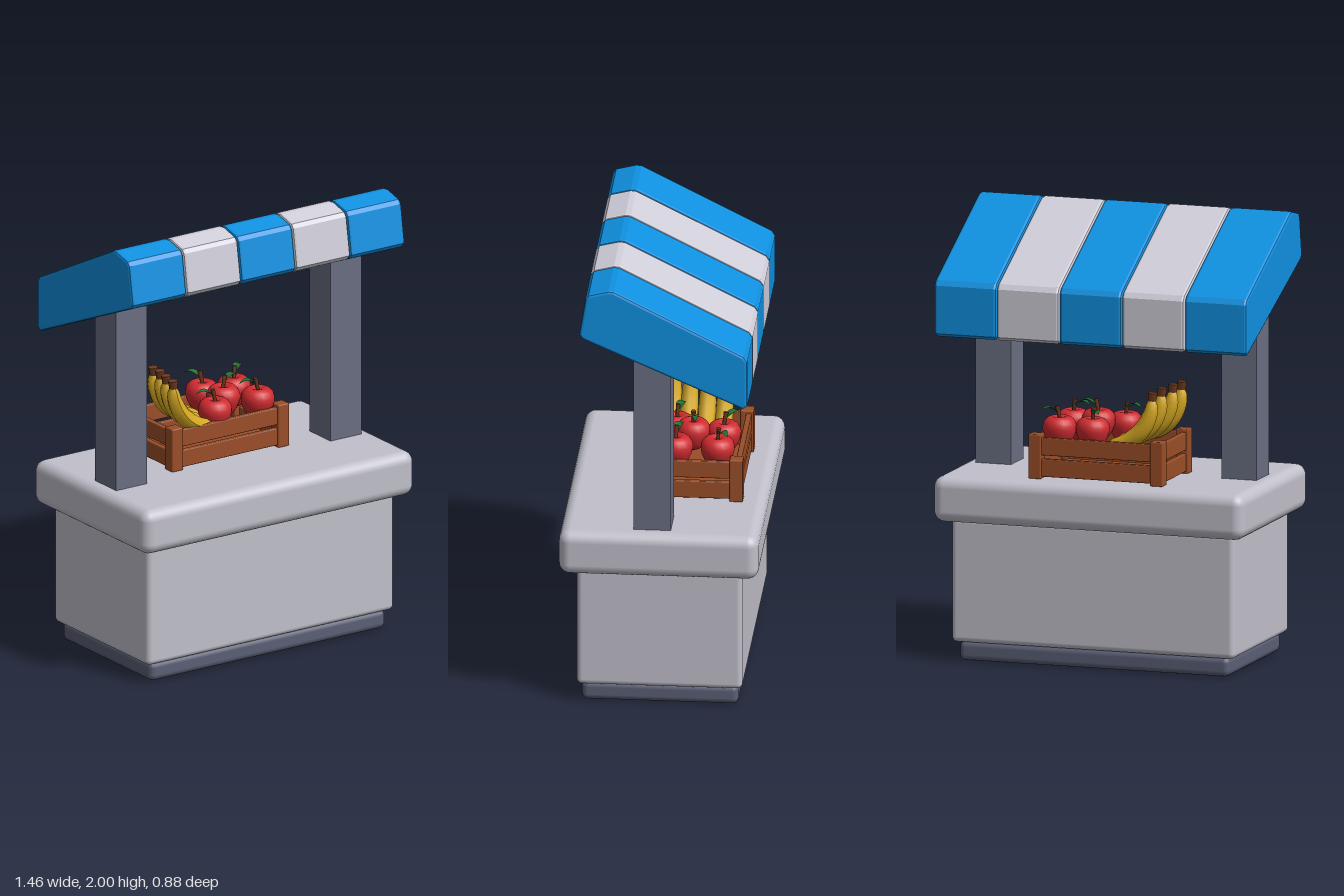
import * as THREE from 'three';
import { RoundedBoxGeometry } from 'three/addons/geometries/RoundedBoxGeometry.js';

const mat = (name, color, side = THREE.FrontSide) => {
  const m = new THREE.MeshStandardMaterial({ color, side });
  m.name = name;
  return m;
};

export function createModel() {
  const blue = mat('awning blue', 0x0f90e0);
  const white = mat('awning white', 0xd0cfda);
  const stone = mat('counter grey', 0xc1c0cb);
  const slate = mat('post slate', 0x6a6e82);
  const slateDark = mat('base slate', 0x5a5f75);
  const wood = mat('crate wood', 0x9a4e28);
  const yellow = mat('banana yellow', 0xd6a922);
  const red = mat('apple red', 0xcf2b30);
  const brown = mat('stem brown', 0x6e3a20);
  const green = mat('leaf green', 0x1f7033, THREE.DoubleSide);

  const model = new THREE.Group();
  model.name = 'marketStall';
  const add = (parent, name, geometry, material, x = 0, y = 0, z = 0) => {
    const mesh = new THREE.Mesh(geometry, material);
    mesh.name = name;
    mesh.position.set(x, y, z);
    parent.add(mesh);
    return mesh;
  };
  const group = (name, parent = model) => {
    const g = new THREE.Group();
    g.name = name;
    parent.add(g);
    return g;
  };

  // Base, body and counter top
  add(model, 'base', new RoundedBoxGeometry(1.265, 0.09, 0.695, 2, 0.028), slateDark, 0, 0.045, 0);
  add(model, 'body', new RoundedBoxGeometry(1.325, 0.56, 0.735, 3, 0.025), stone, 0, 0.365, 0);
  add(model, 'counterTop', new RoundedBoxGeometry(1.455, 0.205, 0.885, 3, 0.05), stone, 0, 0.733, 0);

  // Posts, their tops sunk into the awning
  for (const s of [-1, 1]) {
    add(model, s > 0 ? 'leftPost' : 'rightPost', new THREE.BoxGeometry(0.165, 0.87, 0.165), slate, s * 0.575, 1.255, 0.032);
  }

  // Awning: five bevelled strips of one side profile (z, y)
  const profile = new THREE.Shape([
    [0.335, 1.765], [0.35, 1.785], [0.322, 1.96], [0.308, 1.978], [0.22, 2.0], [0.195, 1.998],
    [-0.38, 1.708], [-0.395, 1.685], [-0.395, 1.47], [-0.375, 1.455],
  ].map(([z, y]) => new THREE.Vector2(z, y)));
  const strip = new THREE.ExtrudeGeometry(profile, {
    depth: 0.266, bevelEnabled: true, bevelSize: 0.012, bevelThickness: 0.012, bevelOffset: -0.012, bevelSegments: 2,
  });
  strip.translate(0, 0, -0.133).rotateY(-Math.PI / 2);
  const awning = group('awning');
  for (let i = 0; i < 5; i++) {
    add(awning, 'awningStrip', strip, i % 2 ? white : blue, (i - 2) * 0.293);
  }

  // Crate: corner posts, two slats on every side, and a floor
  const crate = group('crate');
  crate.position.set(-0.004, 0.835, -0.14);
  for (const sx of [-1, 1]) {
    for (const sz of [-1, 1]) {
      add(crate, 'cratePost', new RoundedBoxGeometry(0.06, 0.2, 0.06, 1, 0.006), wood, sx * 0.285, 0.1, sz * 0.17);
    }
  }
  for (const y of [0.05, 0.146]) {
    for (const s of [-1, 1]) {
      add(crate, 'longSlat', new RoundedBoxGeometry(0.53, 0.08, 0.025, 1, 0.005), wood, 0, y, s * 0.178);
      add(crate, 'shortSlat', new RoundedBoxGeometry(0.025, 0.08, 0.3, 1, 0.005), wood, s * 0.293, y, 0);
    }
  }
  add(crate, 'crateFloor', new THREE.BoxGeometry(0.56, 0.02, 0.33), wood, 0, 0.02, 0);

  // Banana: a tube narrowed towards both ends
  const curve = new THREE.CatmullRomCurve3([
    [0, -0.03], [0.008, -0.09], [0.05, -0.17], [0.12, -0.225], [0.2, -0.245],
  ].map(([x, y]) => new THREE.Vector3(x, y, 0)));
  const rings = 14, sides = 8;
  const bananaGeo = new THREE.TubeGeometry(curve, rings, 0.039, sides);
  const pos = bananaGeo.attributes.position;
  const v = new THREE.Vector3();
  for (let i = 0; i < pos.count; i++) {
    const t = Math.floor(i / (sides + 1)) / rings;
    const c = curve.getPointAt(t);
    const k = 0.42 + 0.58 * Math.sqrt(Math.max(0, Math.sin(Math.PI * t)));
    v.fromBufferAttribute(pos, i).sub(c).multiplyScalar(k).add(c);
    pos.setXYZ(i, v.x, v.y, v.z);
  }
  bananaGeo.computeVertexNormals();
  const bananas = group('bananas');
  const tips = [[-0.283, 1.245, 0.015], [-0.268, 1.245, -0.06], [-0.245, 1.24, -0.14], [-0.228, 1.23, -0.218]];
  for (const [x, y, z] of tips) {
    const banana = group('banana', bananas);
    banana.position.set(x, y, z);
    add(banana, 'bananaSkin', bananaGeo, yellow);
    add(banana, 'bananaStem', new THREE.CylinderGeometry(0.023, 0.017, 0.05, 8), brown, 0, -0.023, 0).rotation.z = 0.08;
    add(banana, 'bananaEnd', new THREE.CylinderGeometry(0.012, 0.017, 0.014, 8), brown, 0.203, -0.245, 0).rotation.z = -1.5;
  }

  // Apple: lathed body with dimples, a stem and a folded leaf
  const appleGeo = new THREE.LatheGeometry(new THREE.SplineCurve([
    [0.001, -0.055], [0.025, -0.068], [0.055, -0.045], [0.076, 0.01], [0.066, 0.05], [0.034, 0.068], [0.001, 0.048],
  ].map(([x, y]) => new THREE.Vector2(x, y))).getPoints(16), 18);
  const leafGeo = new THREE.PlaneGeometry(0.085, 0.04, 6, 2);
  const lp = leafGeo.attributes.position;
  for (let i = 0; i < lp.count; i++) {
    const t = THREE.MathUtils.clamp(lp.getX(i) / 0.085 + 0.5, 0, 1);
    const w = lp.getY(i) * Math.sin(Math.PI * Math.pow(t, 0.8));
    lp.setXYZ(i, t * 0.085, Math.abs(w) * 0.4 + 0.025 * Math.sin(t * 2.6), w);
  }
  leafGeo.computeVertexNormals();
  const apples = group('apples');
  // x, y, z, leaf direction
  const spots = [
    [-0.035, 1.035, -0.02, 2.8], [0.205, 1.035, -0.035, 2.9], [0.065, 1.055, -0.1, 0.2],
    [0.205, 1.035, -0.22, 0.6], [0.045, 1.04, -0.235, 2.2],
  ];
  for (const [x, y, z, turn] of spots) {
    const apple = group('apple', apples);
    apple.position.set(x, y, z);
    apple.rotation.y = turn;
    add(apple, 'appleBody', appleGeo, red);
    add(apple, 'appleStem', new THREE.CylinderGeometry(0.011, 0.007, 0.065, 6), brown, 0.004, 0.08, 0).rotation.z = -0.2;
    add(apple, 'appleLeaf', leafGeo, green, 0.004, 0.08, 0);
  }
  return model;
}
